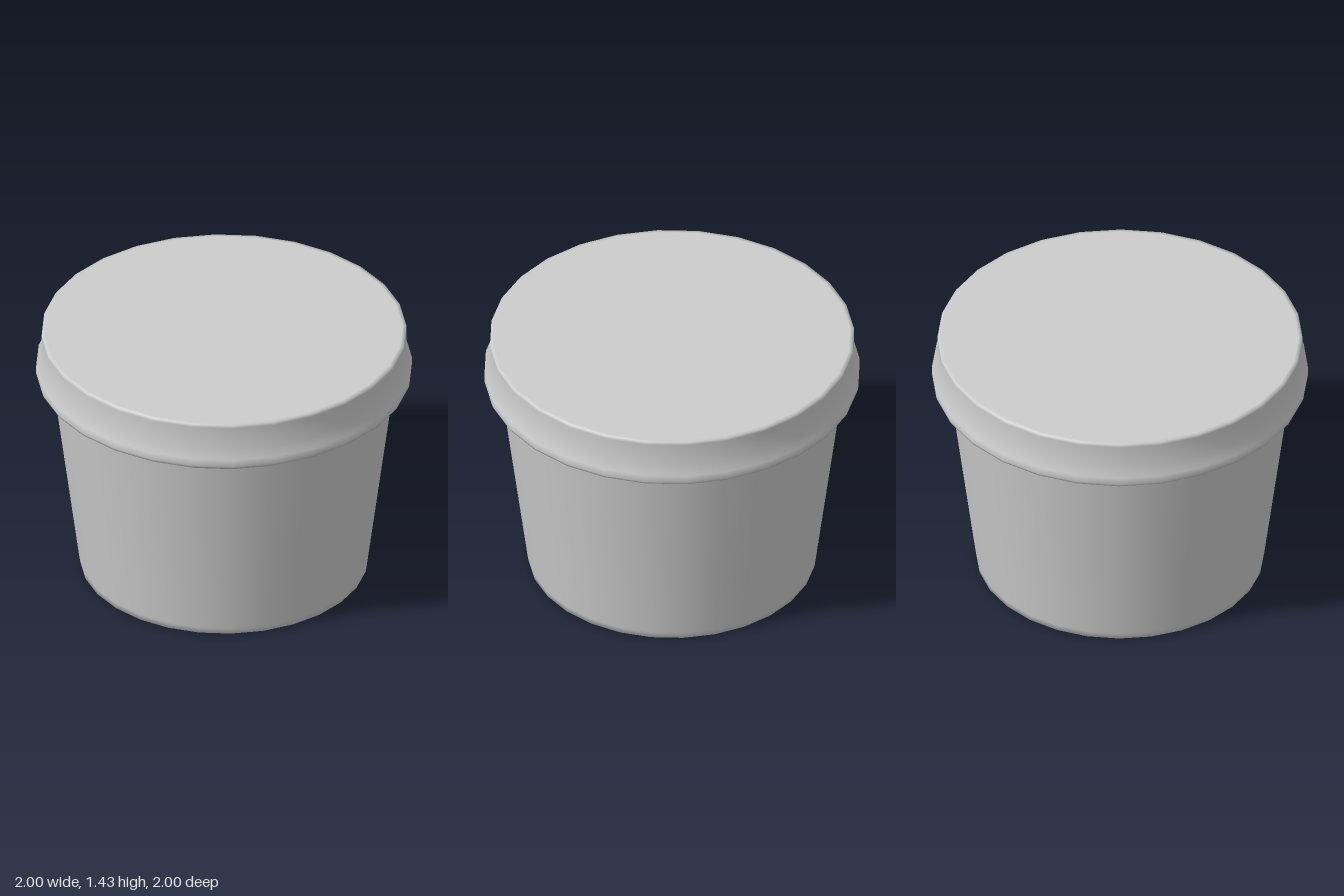
import * as THREE from 'three';

const SIDES = 28;

// Revolve a list of [radius, height] pairs, bottom to top
function turned(name, profile, material) {
  const points = profile.map(([r, y]) => new THREE.Vector2(r, y));
  const mesh = new THREE.Mesh(new THREE.LatheGeometry(points, SIDES), material);
  mesh.name = name;
  return mesh;
}

export function createModel() {
  const group = new THREE.Group();
  group.name = 'liddedTub';
  const plastic = new THREE.MeshStandardMaterial({ color: 0xcccccc });
  plastic.name = 'grey plastic';

  // Tapered tub with a closed base and a tight, softened bottom edge
  group.add(turned('tub', [
    [0, 0], [0.74, 0], [0.765, 0.005], [0.77, 0.04], [0.906, 1.09], [0.91, 1.12],
  ], plastic));

  // Lid: flared lip, bulging rim, straight wall and flat top
  group.add(turned('lid', [
    [0.91, 1.12], [0.995, 1.175], [1, 1.19], [1, 1.23], [0.97, 1.28],
    [0.97, 1.41], [0.97, 1.43], [0.95, 1.43], [0, 1.43],
  ], plastic));

  return group;
}
